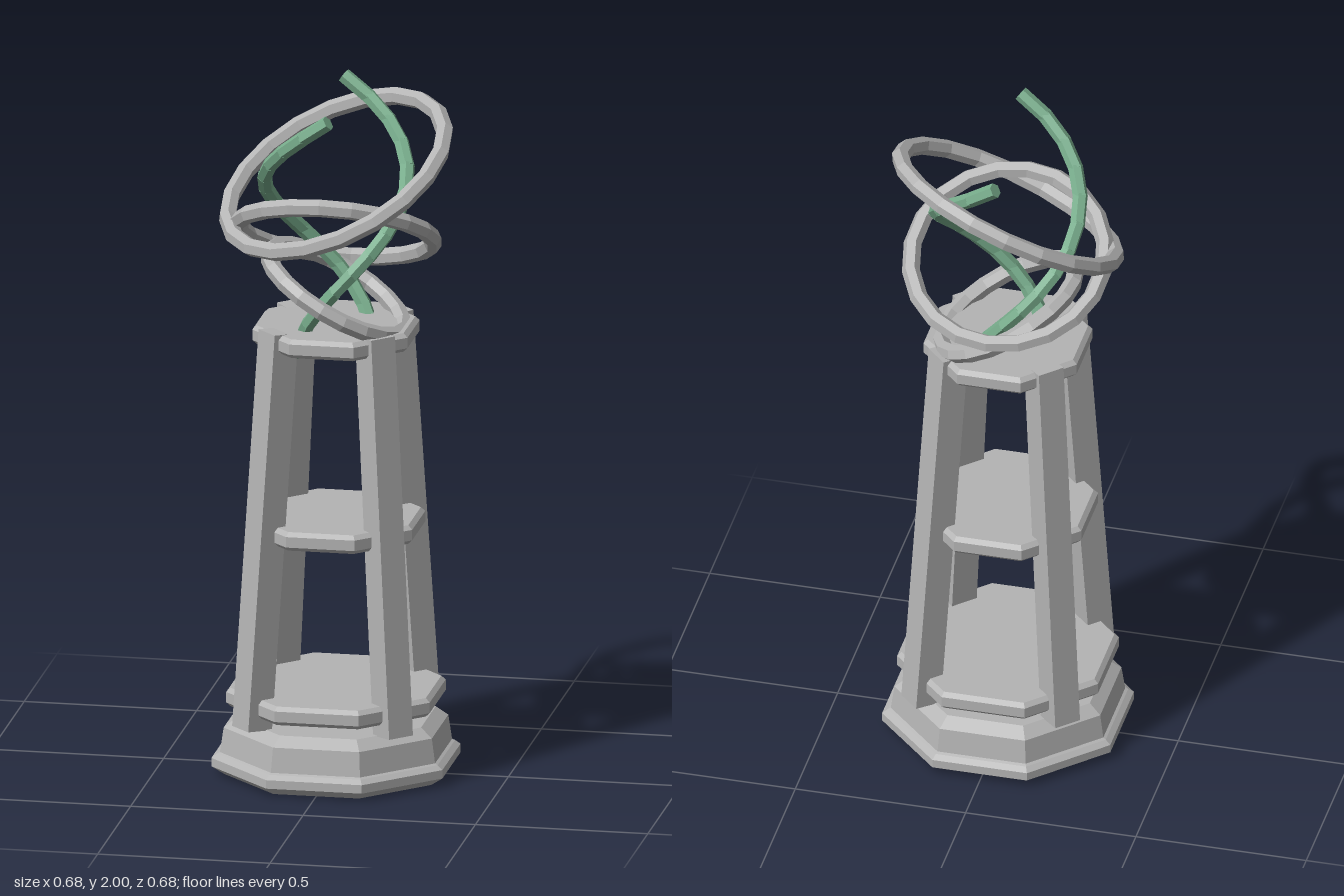
import * as THREE from 'three';

const stone = new THREE.MeshStandardMaterial({ color: 0xb4b4b4, flatShading: true });
stone.name = 'grey stone';
const green = new THREE.MeshStandardMaterial({ color: 0x78ad8c, flatShading: true });
green.name = 'soft green';

const UP = new THREE.Vector3(0, 1, 0);

// Octagonal turned solid; radii are measured to the flats
function octagon(name, profile) {
  const points = profile.map(([r, y]) => new THREE.Vector2(r / Math.cos(Math.PI / 8), y));
  const mesh = new THREE.Mesh(new THREE.LatheGeometry(points, 8), stone);
  mesh.rotation.y = Math.PI / 8;
  mesh.name = name;
  return mesh;
}

// Place a mesh so its y axis runs from a to b
function span(mesh, a, b) {
  mesh.position.addVectors(a, b).multiplyScalar(0.5);
  mesh.quaternion.setFromUnitVectors(UP, b.clone().sub(a).normalize());
  return mesh;
}

export function createModel() {
  const model = new THREE.Group();
  model.name = 'armillaryTower';

  // Stepped plinth
  model.add(octagon('plinth', [
    [0, 0], [0.3, 0], [0.335, 0.025], [0.335, 0.05], [0.32, 0.062],
    [0.312, 0.066], [0.302, 0.138], [0.268, 0.165], [0, 0.165],
  ]));

  // Three bevelled shelves
  [['lowerShelf', 0.295, 0.2], ['middleShelf', 0.24, 0.703], ['topShelf', 0.225, 1.27]]
    .forEach(([name, r, y]) => model.add(octagon(name, [
      [0, y], [r - 0.012, y], [r, y + 0.012], [r, y + 0.043], [r - 0.012, y + 0.055], [0, y + 0.055],
    ])));

  // Four leaning legs on the diagonals
  for (let i = 0; i < 4; i++) {
    const pivot = new THREE.Group();
    pivot.name = 'leg' + (i + 1);
    pivot.rotation.y = Math.PI / 4 + i * Math.PI / 2;
    const leg = new THREE.Mesh(new THREE.BoxGeometry(0.082, 1.165, 0.082), stone);
    leg.name = 'legPost';
    pivot.add(span(leg, new THREE.Vector3(0, 0.165, 0.289), new THREE.Vector3(0, 1.325, 0.198)));
    model.add(pivot);
  }

  // Tilted rings; heading is the direction of the high side, from +z towards +x
  [['lowerRing', 0.22, 1.415, -Math.PI / 2], ['middleRing', 0.28, 1.587, 0],
    ['upperRing', 0.34, 1.76, Math.PI * 0.75]].forEach(([name, r, y, heading]) => {
    const geometry = new THREE.TorusGeometry(r, 0.026, 6, 20);
    geometry.rotateX(Math.PI / 2);
    geometry.rotateX(-Math.PI / 6);
    geometry.rotateY(heading);
    const ring = new THREE.Mesh(geometry, stone);
    ring.position.y = y;
    ring.name = name;
    model.add(ring);
  });

  // Two widening spirals made of short hexagonal rods
  const steps = 14;
  const spiralPoint = (t) => {
    const angle = THREE.MathUtils.degToRad(29 + 246 * t);
    const r = 0.113 + 0.135 * t;
    return new THREE.Vector3(r * Math.cos(angle), 1.24 + 0.74 * t, -r * Math.sin(angle));
  };
  for (let side = 0; side < 2; side++) {
    const spiral = new THREE.Group();
    spiral.name = 'spiral' + (side + 1);
    spiral.rotation.y = side * Math.PI;
    for (let i = 0; i < steps; i++) {
      const a = spiralPoint(i / steps);
      const b = spiralPoint((i + 1) / steps);
      const rod = new THREE.Mesh(
        new THREE.CylinderGeometry(0.022, 0.022, a.distanceTo(b) * 1.08, 6), green);
      rod.name = 'spiralRod';
      spiral.add(span(rod, a, b));
    }
    model.add(spiral);
  }

  return model;
}
